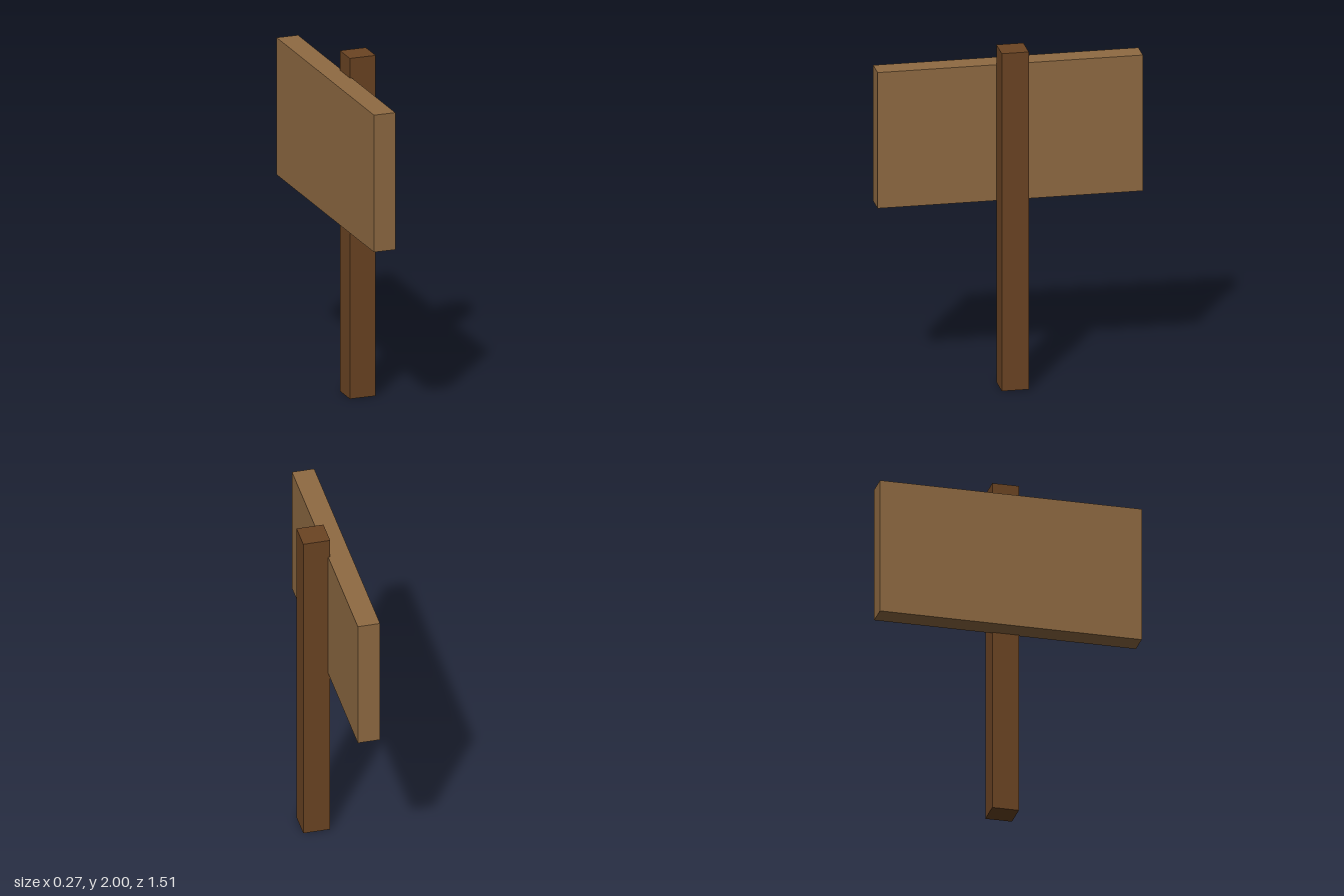
import * as THREE from 'three';

const wood = (name, color) => {
  const material = new THREE.MeshStandardMaterial({ color });
  material.name = name;
  return material;
};

// Box given by its lower and upper corners
function beam(name, min, max, material) {
  const size = max.map((v, i) => v - min[i]);
  const mesh = new THREE.Mesh(new THREE.BoxGeometry(...size), material);
  mesh.position.set(...max.map((v, i) => (v + min[i]) / 2));
  mesh.name = name;
  return mesh;
}

export function createModel() {
  const group = new THREE.Group();
  group.name = 'signpost';

  // Upright post, slightly let into the board
  group.add(beam('post', [-0.019, 0, -0.077], [0.136, 2, 0.077], wood('dark wood', 0x6b4423)));

  // Sign board on the post's right side
  group.add(beam('signBoard', [-0.136, 1.08, -0.756], [-0.008, 1.885, 0.756], wood('light wood', 0x8f6a42)));

  return group;
}
